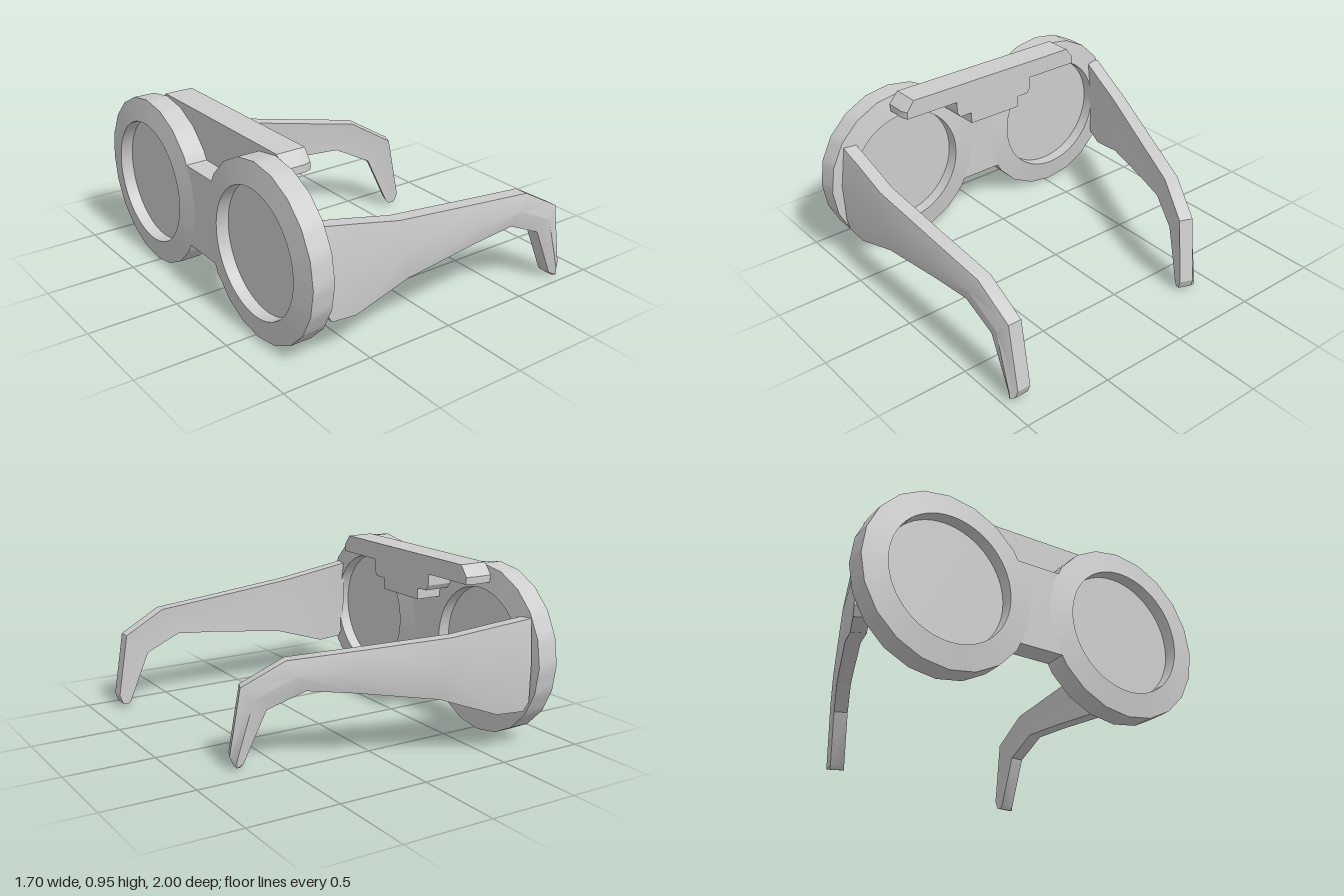
import * as THREE from 'three';
import { toCreasedNormals } from 'three/addons/utils/BufferGeometryUtils.js';

const grey = new THREE.MeshStandardMaterial({ color: 0xcccccc });
grey.name = 'plain grey';

function add(parent, name, geometry, x = 0, y = 0, z = 0) {
  const mesh = new THREE.Mesh(toCreasedNormals(geometry, 0.5), grey);
  mesh.name = name;
  mesh.position.set(x, y, z);
  parent.add(mesh);
  return mesh;
}

// Bevelled rim: round inside, twenty-sided outside
function rimGeometry() {
  const profile = [[0.47, -0.06], [0.47, 0.06], [0.34, 0.08], [0.34, -0.08], [0.47, -0.06]]
    .map(p => new THREE.Vector2(...p));
  const g = new THREE.LatheGeometry(profile, 60);
  const pos = g.attributes.position, side = Math.PI / 10;
  for (let i = 0; i < pos.count; i++) {
    const x = pos.getX(i), z = pos.getZ(i);
    if (Math.hypot(x, z) < 0.4) continue;
    const a = Math.atan2(x, z) + Math.PI * 2;
    const off = a - Math.round(a / side - 0.5) * side - side / 2;
    const k = Math.cos(side / 2) / Math.cos(off);
    pos.setX(i, x * k);
    pos.setZ(i, z * k);
  }
  return g.rotateZ(Math.PI / 2);
}

// Stepped block over the bridge, with chamfered wing tips
function browGeometry() {
  const half = [[0.165, 0.69], [0.165, 0.755], [0.24, 0.755], [0.26, 0.785], [0.26, 0.85],
    [0.6, 0.85], [0.6, 0.89], [0.54, 0.95]];
  const outline = [...half, ...half.map(([u, y]) => [-u, y]).reverse()];
  const shape = new THREE.Shape(outline.map(p => new THREE.Vector2(...p)));
  const g = new THREE.ExtrudeGeometry(shape, { depth: 0.16, steps: 4, bevelEnabled: false });
  const pos = g.attributes.position;
  for (let i = 0; i < pos.count; i++) {
    const u = pos.getX(i);
    if (pos.getZ(i) > 0.15 && Math.abs(u) > 0.58) pos.setX(i, u * 0.975);
  }
  return g.rotateY(Math.PI / 2);
}

// Temple arm lofted from six-cornered sections; side is +1 or -1 in z
function armGeometry(side) {
  // top x, top y, bottom x, bottom y, inward lean of the top edge
  const stations = [
    [-0.71, 0.72, -0.71, 0.28, 0.035],
    [-0.66, 0.711, -0.68, 0.23, 0.03],
    [-0.54, 0.69, -0.54, 0.22, 0.022],
    [-0.29, 0.645, -0.23, 0.32, 0],
    [0.2, 0.595, 0.2, 0.375, 0],
    [0.56, 0.56, 0.46, 0.4, 0],
    [0.79, 0.43, 0.66, 0.31, 0],
    [0.85, 0.07, 0.78, 0.03, 0],
    [0.83, 0.02, 0.8, 0.01, 0],
  ];
  const ring = [[0, 0.94], [0.5, 0.965], [1, 0.945], [1, 0.867], [0.5, 0.87], [0, 0.865]];
  const n = ring.length, points = [], index = [];
  for (const [tx, ty, bx, by, lean] of stations) {
    for (const [t, z] of ring) {
      points.push(tx + (bx - tx) * t, ty + (by - ty) * t, side * (z - lean * (1 - 0.7 * t)));
    }
  }
  const tri = (a, b, c) => index.push(...(side > 0 ? [a, b, c] : [a, c, b]));
  const last = (stations.length - 1) * n;
  for (let s = 0; s < last; s += n) {
    for (let j = 0; j < n; j++) {
      const a = s + j, b = s + (j + 1) % n;
      tri(a, b, a + n);
      tri(b, b + n, a + n);
    }
  }
  for (let j = 1; j < n - 1; j++) {
    tri(0, j + 1, j);
    tri(last, last + j, last + j + 1);
  }
  const g = new THREE.BufferGeometry();
  g.setAttribute('position', new THREE.Float32BufferAttribute(points, 3));
  g.setIndex(index);
  return g;
}

export function createModel() {
  const model = new THREE.Group();
  model.name = 'glasses';

  // Rims and recessed lenses
  for (const side of [1, -1]) {
    const word = side > 0 ? 'right' : 'left';
    add(model, word + 'Rim', rimGeometry(), -0.77, 0.47, side * 0.53);
    const lens = new THREE.CylinderGeometry(0.345, 0.345, 0.02, 60).rotateZ(Math.PI / 2);
    add(model, word + 'Lens', lens, -0.77, 0.47, side * 0.53);
  }

  // Bridge and brow block
  add(model, 'bridge', new THREE.BoxGeometry(0.12, 0.46, 0.27), -0.77, 0.47, 0);
  add(model, 'browBlock', browGeometry(), -0.71, 0, 0);

  // One arm straight, the other folded inward about its hinge
  add(model, 'straightArm', armGeometry(1));
  const folded = armGeometry(-1).translate(0.71, 0, 0.94).rotateY(-0.4);
  add(model, 'foldedArm', folded, -0.69, 0, -0.96);

  return model;
}
